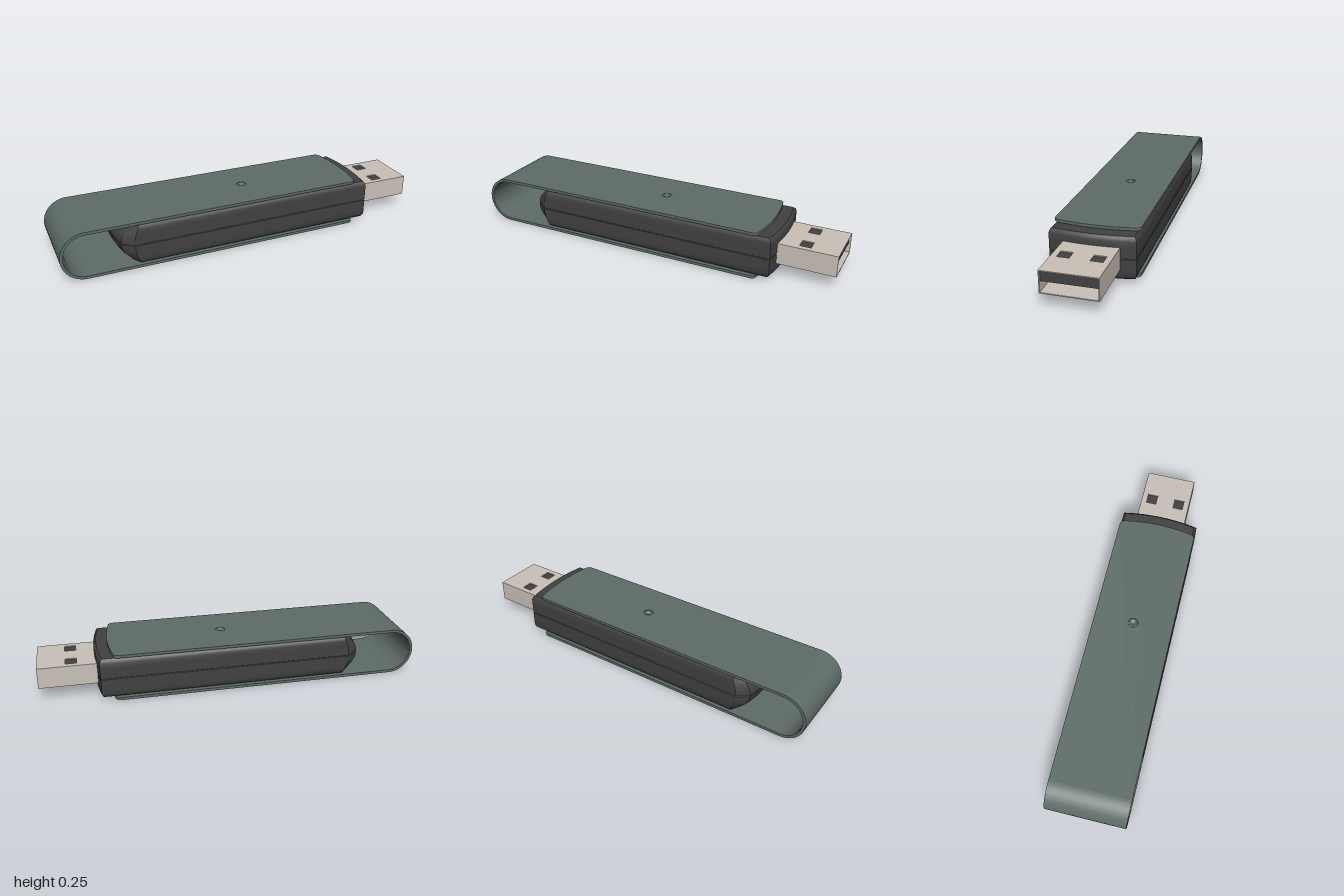
import * as THREE from 'three';
import { toCreasedNormals } from 'three/addons/utils/BufferGeometryUtils.js';

const mat = (color) => new THREE.MeshStandardMaterial({ color, side: THREE.DoubleSide });
const H = 0.253, MID = H / 2, HALF_W = 0.212;

export function createModel() {
  const model = new THREE.Group();
  const green = mat(0x5d6b67), dark = mat(0x414141), metal = mat(0xcac1b8);

  const add = (parent, name, geometry, material, x = 0, y = 0, z = 0) => {
    const mesh = new THREE.Mesh(geometry, material);
    mesh.name = name;
    mesh.position.set(x, y, z);
    parent.add(mesh);
    return mesh;
  };
  const group = (name) => {
    const g = new THREE.Group();
    g.name = name;
    model.add(g);
    return g;
  };
  // Horizontal plate: plan shape extruded upward
  const plate = (shape, thickness) => toCreasedNormals(
    new THREE.ExtrudeGeometry(shape, { depth: thickness, bevelEnabled: false, curveSegments: 16 })
      .rotateX(-Math.PI / 2), 0.6);

  // Swivel cover: two plates joined by a half-round bend
  const cover = group('swivelCover');
  const T = 0.015, bendX = -1 + MID, pivotX = 0.03;
  const plan = new THREE.Shape();
  plan.moveTo(bendX, -HALF_W);
  plan.lineTo(0.59, -HALF_W);
  plan.quadraticCurveTo(0.617, -HALF_W, 0.62, -HALF_W + 0.03);
  plan.quadraticCurveTo(0.655, 0, 0.62, HALF_W - 0.03);
  plan.quadraticCurveTo(0.617, HALF_W, 0.59, HALF_W);
  plan.lineTo(bendX, HALF_W);
  plan.closePath();
  plan.holes.push(new THREE.Path().absarc(pivotX, 0, 0.026, 0, Math.PI * 2, true));
  add(cover, 'coverTop', plate(plan, T), green, 0, H - T, 0);
  add(cover, 'coverBottom', plate(plan, T), green);

  const bend = new THREE.Shape();
  bend.absarc(0, 0, MID, Math.PI / 2, Math.PI * 1.5, false);
  bend.absarc(0, 0, MID - T, Math.PI * 1.5, Math.PI / 2, true);
  const bendGeo = new THREE.ExtrudeGeometry(bend, { depth: HALF_W * 2, bevelEnabled: false, curveSegments: 24 });
  add(cover, 'coverBend', toCreasedNormals(bendGeo, 0.6), green, bendX, MID, -HALF_W);

  // Dimpled pivot pins, top and bottom
  const dimple = [[0, -0.012], [0.01, -0.01], [0.018, -0.001], [0.023, 0], [0.027, -0.004], [0.027, -0.022]]
    .map(([r, y]) => new THREE.Vector2(r, y));
  for (const s of [1, -1]) {
    const pin = add(cover, s > 0 ? 'pivotTop' : 'pivotBottom', new THREE.LatheGeometry(dimple, 20), green,
      pivotX, MID + s * MID, 0);
    if (s < 0) pin.rotation.x = Math.PI;
  }

  // Body
  add(model, 'body', bodyGeometry(), dark);

  // Plug: open metal shell with square latch holes, and a tongue inside
  const plug = group('plug');
  const x0 = 0.69, x1 = 1, y0 = 0.073, y1 = 0.184, zw = 0.137, w = 0.005;
  const face = new THREE.Shape();
  face.moveTo(x0, -zw).lineTo(x1, -zw).lineTo(x1, zw).lineTo(x0, zw).closePath();
  for (const z of [-0.078, 0.078]) {
    const hole = new THREE.Path();
    hole.moveTo(0.8, z - 0.03).lineTo(0.8, z + 0.03).lineTo(0.858, z + 0.03).lineTo(0.858, z - 0.03).closePath();
    face.holes.push(hole);
  }
  add(plug, 'shellTop', plate(face, w), metal, 0, y1 - w, 0);
  add(plug, 'shellBottom', plate(face, w), metal, 0, y0, 0);
  for (const s of [1, -1]) {
    add(plug, 'shellSide', new THREE.BoxGeometry(x1 - x0, y1 - y0 - 2 * w, w), metal,
      (x0 + x1) / 2, (y0 + y1) / 2, s * (zw - w / 2));
  }
  add(plug, 'tongue', new THREE.BoxGeometry(0.3, 0.05, 2 * (zw - w)), dark, 0.84, y1 - w - 0.026, 0);

  return model;
}

// Body as stacked plan outlines: bowed ends, chamfered rear corners, seam at half height
function bodyGeometry() {
  // [height, rear inset, side and front inset]
  const layers = [
    [0.02, 0.07, 0.014], [0.027, 0.058, 0.006], [0.042, 0.045, 0],
    [0.07, 0.018, 0], [0.1, 0.002, 0], [0.124, 0, 0],
    [0.126, 0.003, 0.003], [0.129, 0.003, 0.003],
    [0.131, 0, 0], [0.155, 0.002, 0], [0.185, 0.018, 0],
    [0.213, 0.045, 0], [0.228, 0.058, 0.006], [0.235, 0.07, 0.014],
  ];
  const steps = 8, pos = [], index = [];
  let n = 0;
  for (const [y, rear, inset] of layers) {
    const half = 0.211 - inset, row = [];
    for (let i = 0; i <= steps; i++) {
      const t = 1 - (2 * i) / steps;
      row.push([0.708 - inset - 0.02 * t * t, half * t]);
    }
    row.push([-0.63 + rear * 0.4, -half]);
    for (let i = 0; i <= steps; i++) {
      const t = (2 * i) / steps - 1;
      row.push([-0.709 + rear + 0.02 * t * t, (half - 0.04) * t]);
    }
    row.push([-0.63 + rear * 0.4, half]);
    n = row.length;
    for (const [x, z] of row) pos.push(x, y, z);
  }
  const last = layers.length - 1;
  for (let i = 0; i < last; i++) {
    for (let j = 0; j < n; j++) {
      const a = i * n + j, b = i * n + (j + 1) % n;
      index.push(a, b, b + n, a, b + n, a + n);
    }
  }
  // Flat caps
  const c = pos.length / 3;
  pos.push(0, layers[0][0], 0, 0, layers[last][0], 0);
  for (let j = 0; j < n; j++) {
    const k = (j + 1) % n;
    index.push(c, k, j, c + 1, last * n + j, last * n + k);
  }
  const geo = new THREE.BufferGeometry();
  geo.setAttribute('position', new THREE.Float32BufferAttribute(pos, 3));
  geo.setIndex(index);
  return toCreasedNormals(geo, 0.5);
}
